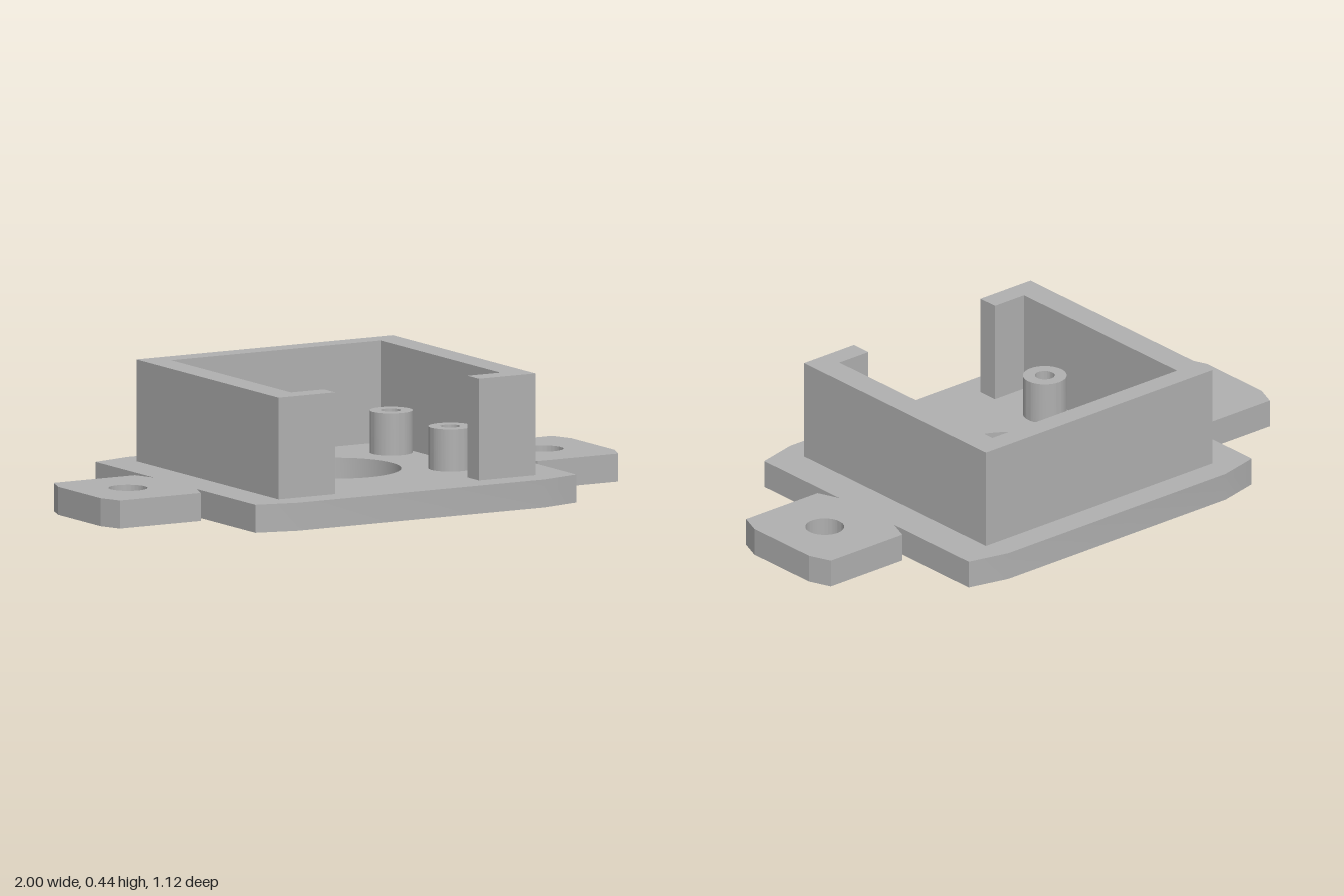
import * as THREE from 'three';
import { toCreasedNormals } from 'three/addons/utils/BufferGeometryUtils.js';

const grey = new THREE.MeshStandardMaterial({ color: 0xb0b0b0 });
grey.name = 'grey';

const PLATE_TOP = 0.095;

function circle(x, y, r) {
  return new THREE.Path().absarc(x, y, r, 0, Math.PI * 2, true);
}

// Extrudes a plan outline (x, -z) upward from y0 to y1
function slab(name, shape, y0, y1) {
  const geometry = new THREE.ExtrudeGeometry(shape, {
    depth: y1 - y0, bevelEnabled: false, curveSegments: 48,
  });
  geometry.rotateX(-Math.PI / 2);
  geometry.translate(0, y0, 0);
  const mesh = new THREE.Mesh(toCreasedNormals(geometry, 0.3), grey);
  mesh.name = name;
  return mesh;
}

export function createModel() {
  const group = new THREE.Group();
  group.name = 'mountingBracket';

  // Base plate with clipped corners and necked side tabs, one quarter mirrored
  const quarter = [
    [1, 0.14], [0.97, 0.217], [0.655, 0.217], [0.625, 0.14],
    [0.625, 0.525], [0.48, 0.56],
  ];
  const half = [...quarter, ...quarter.map(([x, y]) => [-x, y]).reverse()];
  const outline = [...half, ...half.map(([x, y]) => [x, -y]).reverse()];
  const plate = new THREE.Shape(outline.map(([x, y]) => new THREE.Vector2(x, y)));
  plate.holes.push(circle(0, 0, 0.22), circle(0.81, 0, 0.065), circle(-0.81, 0, 0.065));
  group.add(slab('basePlate', plate, 0, PLATE_TOP));

  // Box wall, open at the front between two short lips
  const side = [[0.28, -0.466], [0.5, -0.466], [0.5, 0.468], [0.408, 0.394], [0.408, -0.392], [0.28, -0.392]];
  const [a, b, c, d, e, f] = side;
  const m = ([x, y]) => [-x, y];
  const wall = new THREE.Shape(
    [a, b, c, m(c), m(b), m(a), m(f), m(e), m(d), d, e, f].map(([x, y]) => new THREE.Vector2(x, y)));
  group.add(slab('wall', wall, PLATE_TOP, 0.44));

  // Four hollow standoff posts
  for (const x of [-0.33, 0.33]) {
    for (const z of [-0.195, 0.195]) {
      const ring = new THREE.Shape().absarc(0, 0, 0.073, 0, Math.PI * 2, false);
      ring.holes.push(circle(0, 0, 0.033));
      const post = slab('standoff', ring, PLATE_TOP, 0.238);
      post.position.set(x, 0, z);
      group.add(post);
    }
  }
  return group;
}
